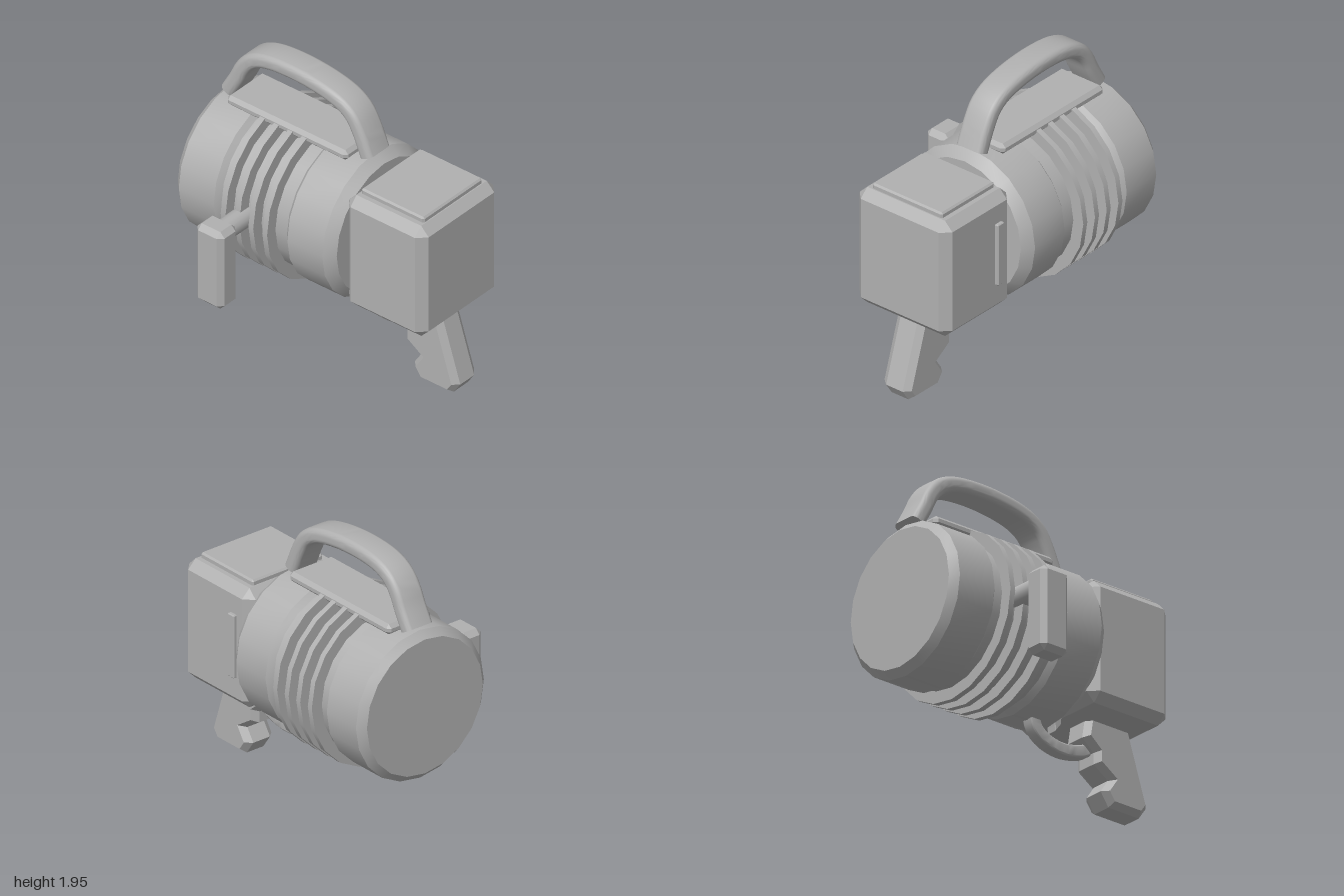
import * as THREE from 'three';
import { toCreasedNormals } from 'three/addons/utils/BufferGeometryUtils.js';
import { ConvexGeometry } from 'three/addons/geometries/ConvexGeometry.js';

const CX = 0.145; // x of the barrel axis
const CY = 0.98; // y of the barrel axis

// Box between two corners with every edge chamfered by c
function chamferBox([x0, y0, z0], [x1, y1, z1], c) {
  const points = [];
  for (const i of [0, 1]) for (const j of [0, 1]) for (const k of [0, 1]) {
    const x = i ? x1 : x0, y = j ? y1 : y0, z = k ? z1 : z0;
    const xi = i ? x - c : x + c, yi = j ? y - c : y + c, zi = k ? z - c : z + c;
    points.push(new THREE.Vector3(x, yi, zi), new THREE.Vector3(xi, y, zi), new THREE.Vector3(xi, yi, z));
  }
  return new ConvexGeometry(points);
}

// Rectangle with rounded corners, centred on the origin
function roundedRect(w, h, r) {
  const s = new THREE.Shape();
  const a = w / 2 - r, b = h / 2 - r;
  s.absarc(a, b, r, 0, Math.PI / 2);
  s.absarc(-a, b, r, Math.PI / 2, Math.PI);
  s.absarc(-a, -b, r, Math.PI, Math.PI * 1.5);
  s.absarc(a, -b, r, Math.PI * 1.5, Math.PI * 2);
  s.closePath();
  return s;
}

// Sweep a section along a [z, y] path lying in the middle plane
function sweep(section, path, steps) {
  const curve = new THREE.CatmullRomCurve3(path.map(([z, y]) => new THREE.Vector3(CX, y, z)));
  const g = new THREE.ExtrudeGeometry(section, { extrudePath: curve, steps, curveSegments: 4 });
  return toCreasedNormals(g, 0.6);
}

// Bevelled plate from a [z, y] outline, centred on the middle plane
function profilePlate(outline, width, bevel) {
  const shape = new THREE.Shape(outline.map(([z, y]) => new THREE.Vector2(z, y)));
  const depth = width - 2 * bevel;
  const g = new THREE.ExtrudeGeometry(shape, {
    depth, bevelThickness: bevel, bevelSize: bevel * 0.75, bevelOffset: -bevel * 0.75, bevelSegments: 1,
  });
  return g.translate(0, 0, -depth / 2).rotateY(-Math.PI / 2).translate(CX, 0, 0);
}

export function createModel() {
  const group = new THREE.Group();
  const grey = new THREE.MeshStandardMaterial({ color: 0xb0b0b0 });
  grey.name = 'grey';
  const add = (name, geometry) => {
    const mesh = new THREE.Mesh(geometry, grey);
    mesh.name = name;
    group.add(mesh);
    return mesh;
  };

  // Barrel: wide chamfered ends around a narrower waist
  const profile = [
    [0, -1], [0.48, -1], [0.53, -0.95], [0.53, -0.66], [0.492, -0.628],
    [0.492, -0.085], [0.53, -0.05], [0.53, 0.24], [0.47, 0.31], [0, 0.31],
  ].map(([r, z]) => new THREE.Vector2(r, z));
  add('barrel', toCreasedNormals(new THREE.LatheGeometry(profile, 20).rotateX(Math.PI / 2), 0.5))
    .position.set(CX, CY, 0);

  // Cooling rings around the waist
  for (let i = 0; i < 4; i++) {
    const ring = new THREE.CylinderGeometry(0.575, 0.575, 0.04, 20).rotateX(Math.PI / 2);
    add('coolingRing', ring).position.set(CX, CY, -0.2 - i * 0.115);
  }

  // Front housing with its lid and side plate
  add('housing', chamferBox([-0.24, 0.545, 0.29], [0.535, 1.4, 0.95], 0.062));
  add('housingLid', chamferBox([-0.145, 1.38, 0.36], [0.44, 1.437, 0.88], 0.012));
  add('sidePlate', chamferBox([0.5, 0.755, 0.405], [0.56, 1.205, 0.468], 0.006));

  // Rail on top of the barrel
  add('topRail', chamferBox([-0.037, 1.48, -0.855], [0.327, 1.555, 0.145], 0.025));

  // Carrying handle
  add('carryHandle', sweep(roundedRect(0.215, 0.108, 0.042), [
    [0.235, 1.51], [0.165, 1.67], [0.105, 1.765], [0.02, 1.825], [-0.14, 1.87], [-0.4, 1.892],
    [-0.62, 1.87], [-0.73, 1.82], [-0.8, 1.74], [-0.85, 1.64], [-0.92, 1.515],
  ], 40));

  // Pistol grip with finger notches
  add('grip', profilePlate([
    [0.84, 0.58], [1.0, 0.08], [0.945, 0], [0.69, 0], [0.625, 0.095], [0.685, 0.185],
    [0.565, 0.265], [0.565, 0.345], [0.47, 0.425], [0.495, 0.58],
  ], 0.228, 0.045));

  // Trigger guard and trigger
  add('triggerGuard', sweep(roundedRect(0.09, 0.085, 0.015), [
    [0.59, 0.4], [0.5, 0.35], [0.34, 0.32], [0.2, 0.35], [0.125, 0.41], [0.1, 0.5],
  ], 18));
  add('trigger', profilePlate([
    [0.33, 0.57], [0.32, 0.48], [0.275, 0.425], [0.283, 0.41], [0.27, 0.46], [0.25, 0.57],
  ].filter((_, i) => i !== 3), 0.08, 0.006));

  // Side crank: stem, collar and hanging knob
  add('crankStem', new THREE.CylinderGeometry(0.073, 0.073, 0.3, 16).rotateZ(Math.PI / 2))
    .position.set(-0.42, CY, -0.43);
  add('crankKnob', chamferBox([-0.725, 0.475, -0.542], [-0.545, 1.07, -0.315], 0.036));

  return group;
}
